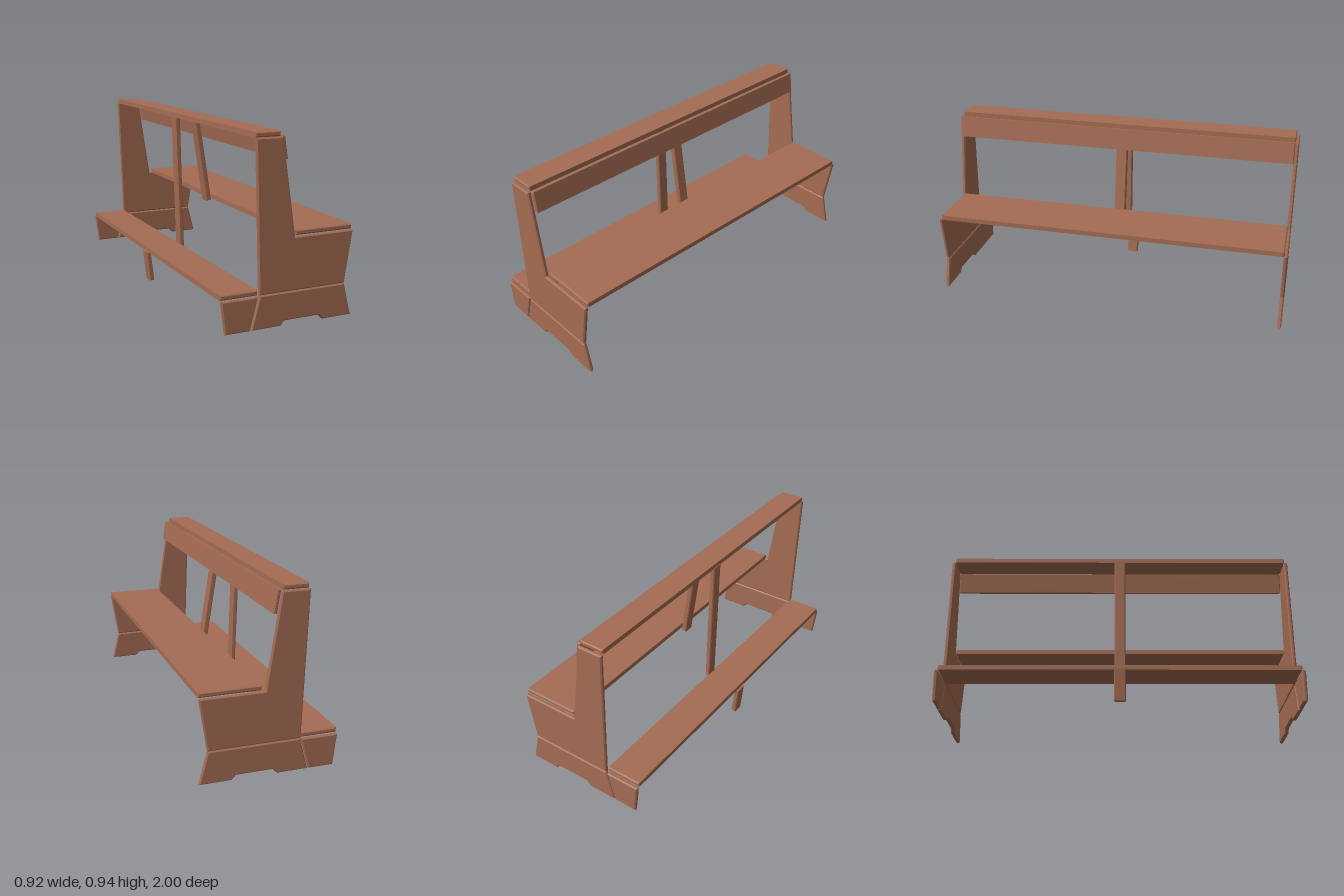
import * as THREE from 'three';

const wood = new THREE.MeshStandardMaterial({ color: 0xa56c53 });

// Side profile (x, y) extruded along z from z0 to z1, with small chamfers on every edge
function plank(name, points, z0, z1, chamfer = 0.006) {
  const shape = new THREE.Shape(points.map(([x, y]) => new THREE.Vector2(x, y)));
  const geometry = new THREE.ExtrudeGeometry(shape, {
    depth: z1 - z0 - 2 * chamfer,
    bevelEnabled: true,
    bevelSegments: 1,
    bevelSize: chamfer,
    bevelThickness: chamfer,
    bevelOffset: -chamfer,
  });
  geometry.translate(0, 0, z0 + chamfer);
  const mesh = new THREE.Mesh(geometry, wood);
  mesh.name = name;
  return mesh;
}

const rect = (x0, x1, y0, y1) => [[x0, y0], [x1, y0], [x1, y1], [x0, y1]];

export function createModel() {
  const model = new THREE.Group();
  model.name = 'pew';
  const pew = new THREE.Group();
  pew.name = 'bench';
  pew.rotation.y = 0.11; // the bench stands slightly turned
  model.add(pew);

  // End panels, with their feet
  const panel = [[-0.159, 0.172], [0.315, 0.172], [0.357, 0.437], [0.03, 0.437], [-0.043, 0.915], [-0.184, 0.915]];
  const foot = [
    [-0.2, 0.004], [-0.04, 0.004], [-0.018, 0.028], [0.17, 0.028], [0.195, 0.004],
    [0.357, 0.004], [0.315, 0.17], [-0.157, 0.17],
  ];
  const kneelerFoot = [[-0.337, 0.004], [-0.206, 0.004], [-0.163, 0.167], [-0.357, 0.167]];
  for (const side of [-1, 1]) {
    const z0 = side > 0 ? 0.943 : -0.965;
    const end = new THREE.Group();
    end.name = side > 0 ? 'frontEnd' : 'rearEnd';
    end.add(
      plank('endPanel', panel, z0, z0 + 0.022),
      plank('endFoot', foot, z0, z0 + 0.022),
      plank('kneelerFoot', kneelerFoot, z0, z0 + 0.022),
    );
    pew.add(end);
  }

  // Long boards
  const half = 0.948;
  pew.add(
    plank('seat', rect(0.042, 0.357, 0.438, 0.464), -half, half),
    plank('kneeler', rect(-0.357, -0.161, 0.168, 0.194), -half, half),
    plank('topRail', rect(-0.182, -0.05, 0.915, 0.941), -half, half),
    plank('backBoard', [[-0.027, 0.803], [-0.006, 0.807], [-0.024, 0.92], [-0.045, 0.917]], -0.945, 0.945, 0.005),
  );

  // Middle supports
  pew.add(
    plank('rearPost', [[-0.163, 0.18], [-0.137, 0.18], [-0.158, 0.918], [-0.186, 0.918]], -0.031, 0.031, 0.005),
    plank('slopedPost', [[0.003, 0.43], [0.033, 0.436], [-0.041, 0.914], [-0.071, 0.91]], -0.031, 0.031, 0.005),
    plank('middleLeg', [[-0.348, 0.0], [-0.321, 0.004], [-0.341, 0.168], [-0.367, 0.168]], -0.031, 0.031, 0.005),
  );
  return model;
}
